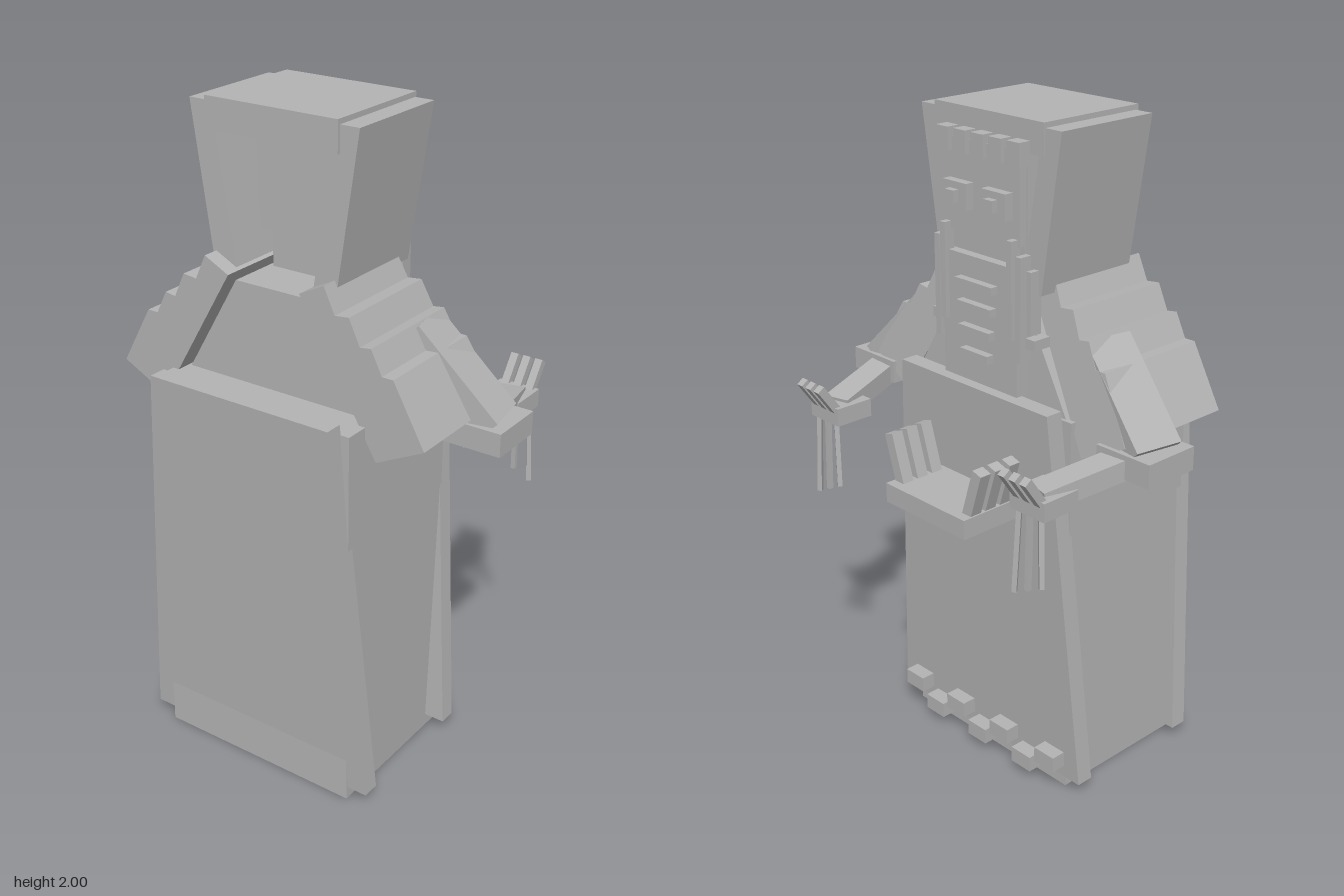
import * as THREE from 'three';

export function createModel() {
  const root = new THREE.Group();
  root.name = 'robedFigure';
  const stone = new THREE.MeshStandardMaterial({ color: 0xb4b4b4 });
  stone.name = 'stoneGrey';

  const add = (name, geo) => {
    const m = new THREE.Mesh(geo, stone);
    m.name = name;
    root.add(m);
    return m;
  };
  // box given by its limits
  const span = (name, x0, x1, y0, y1, z0, z1) => {
    const m = add(name, new THREE.BoxGeometry(x1 - x0, y1 - y0, z1 - z0));
    m.position.set((x0 + x1) / 2, (y0 + y1) / 2, (z0 + z1) / 2);
    return m;
  };
  // box stretched between two points, w wide and h thick
  const beam = (name, a, b, w, h) => {
    const p = new THREE.Vector3(...a), q = new THREE.Vector3(...b);
    const m = add(name, new THREE.BoxGeometry(w, h, p.distanceTo(q)));
    m.position.copy(p).add(q).multiplyScalar(0.5);
    m.lookAt(q);
    return m;
  };
  // box whose bottom and top are separate rectangles: [x0, x1, z0, z1, y]
  const tapered = (name, bottom, top) => {
    const g = new THREE.BoxGeometry(1, 1, 1).toNonIndexed();
    const p = g.attributes.position;
    for (let i = 0; i < p.count; i++) {
      const r = p.getY(i) > 0 ? top : bottom;
      p.setXYZ(i, p.getX(i) < 0 ? r[0] : r[1], r[4], p.getZ(i) < 0 ? r[2] : r[3]);
    }
    g.computeVertexNormals();
    return add(name, g);
  };

  // robe: core with a leaning panel on each broad side
  span('robeCore', -0.335, 0.335, 0, 1.2, -0.11, 0.37);
  tapered('robePanelFront', [-0.4, 0.4, 0.31, 0.365, 0.04], [-0.305, 0.305, 0.37, 0.425, 1.23]);
  tapered('robePanelBack', [-0.4, 0.4, -0.12, -0.065, 0.04], [-0.305, 0.305, -0.175, -0.12, 1.23]);
  for (let i = 0; i < 7; i++) {
    const x = -0.3 + i * 0.1, y = i % 2 ? 0.03 : 0.08;
    span('hemBlock', x - 0.04, x + 0.04, y, y + 0.05, -0.17, -0.115);
  }

  // chest and neck
  tapered('chest', [-0.31, 0.31, -0.1, 0.25, 1.19], [-0.13, 0.13, -0.09, 0.25, 1.5]);
  span('neck', -0.115, 0.115, 1.49, 1.62, -0.1, 0.1);

  // head and headdress
  span('head', -0.155, 0.155, 1.61, 1.93, -0.105, 0.11);
  span('headdressTop', -0.215, 0.215, 1.91, 2, -0.105, 0.255);

  // face plate, mouth gap and beard
  span('facePlate', -0.15, 0.15, 1.66, 1.92, -0.13, -0.1);
  span('beardPlate', -0.15, 0.15, 1.2, 1.6, -0.14, -0.09);
  span('mouthBack', -0.15, 0.15, 1.58, 1.68, -0.11, -0.09);
  for (let i = 0; i < 5; i++) {
    const x = -0.14 + i * 0.07;
    span('browTooth', x - 0.024, x + 0.024, 1.88, 1.945, -0.145, -0.1);
  }
  [1.525, 1.46, 1.39, 1.32].forEach((y, i) => {
    const w = 0.075 - i * 0.006;
    span('beardRidge', -w, w, y - 0.012, y + 0.012, -0.165, -0.13);
  });

  // tray with leaning prongs at both ends
  span('tray', -0.17, 0.17, 0.87, 0.93, -0.36, -0.14);

  for (const s of [-1, 1]) {
    const side = (name, x0, x1, ...rest) =>
      span(name, Math.min(s * x0, s * x1), Math.max(s * x0, s * x1), ...rest);

    side('eye', 0.03, 0.125, 1.73, 1.805, -0.158, -0.12);
    side('pupil', 0.06, 0.095, 1.75, 1.785, -0.178, -0.15);
    side('whiskerInner', 0.125, 0.145, 1.4, 1.68, -0.155, -0.12);
    side('whiskerOuter', 0.155, 0.175, 1.34, 1.64, -0.15, -0.11);
    side('whiskerMiddle', 0.178, 0.195, 1.42, 1.6, -0.13, -0.09);
    side('collarBar', 0.13, 0.21, 1.38, 1.41, -0.13, -0.07);

    // side flap of the headdress
    const lo = [s * 0.13, s * 0.205].sort((a, b) => a - b);
    const hi = [s * 0.205, s * 0.275].sort((a, b) => a - b);
    tapered('headdressFlap', [...lo, -0.1, 0.245, 1.53], [...hi, -0.1, 0.245, 1.985]);

    // stepped sleeve, its back edge leaning outward toward the cuff
    const outline = [[0.12, 1.53], [0.2, 1.57], [0.235, 1.495], [0.28, 1.5], [0.315, 1.425],
      [0.35, 1.43], [0.385, 1.36], [0.42, 1.36], [0.52, 1.18], [0.37, 1.105]];
    const shape = new THREE.Shape(outline.map(([x, y]) => new THREE.Vector2(s * x, y)));
    const g = new THREE.ExtrudeGeometry(shape, { depth: 1, bevelEnabled: false });
    const p = g.attributes.position;
    for (let i = 0; i < p.count; i++) {
      const back = -0.045 - (1.57 - p.getY(i)) * 0.13;
      p.setZ(i, p.getZ(i) > 0.5 ? 0.295 : back);
    }
    g.computeVertexNormals();
    add('sleeve', g);

    // arm, cuff, forearm and hand
    const arm = add('upperArm', new THREE.BoxGeometry(0.34, 0.13, 0.15));
    arm.position.set(s * 0.42, 1.26, 0);
    arm.rotation.set(0, s * 0.17, -s * 0.8, 'YXZ');
    side('cuff', 0.43, 0.62, 1.1, 1.17, -0.11, 0.07);
    beam('forearm', [s * 0.51, 1.135, -0.04], [s * 0.43, 1.085, -0.33], 0.085, 0.06);
    side('hand', 0.37, 0.5, 1.05, 1.105, -0.375, -0.25);
    [-1, 0, 1].forEach((k) => {
      const x = s * 0.435 + k * 0.04;
      beam('upperFinger', [x, 1.09, -0.36], [x, 1.175, -0.42], 0.024, 0.026);
      beam('hangingFinger', [x, 1.07, -0.362], [x + k * 0.012, 0.825 - k * 0.025, -0.37], 0.014, 0.014);
      const z = -0.255 + k * 0.055;
      beam('trayProng', [s * 0.14, 0.91, z], [s * 0.19, 1.07, z], 0.038, 0.035);
    });
  }
  return root;
}
